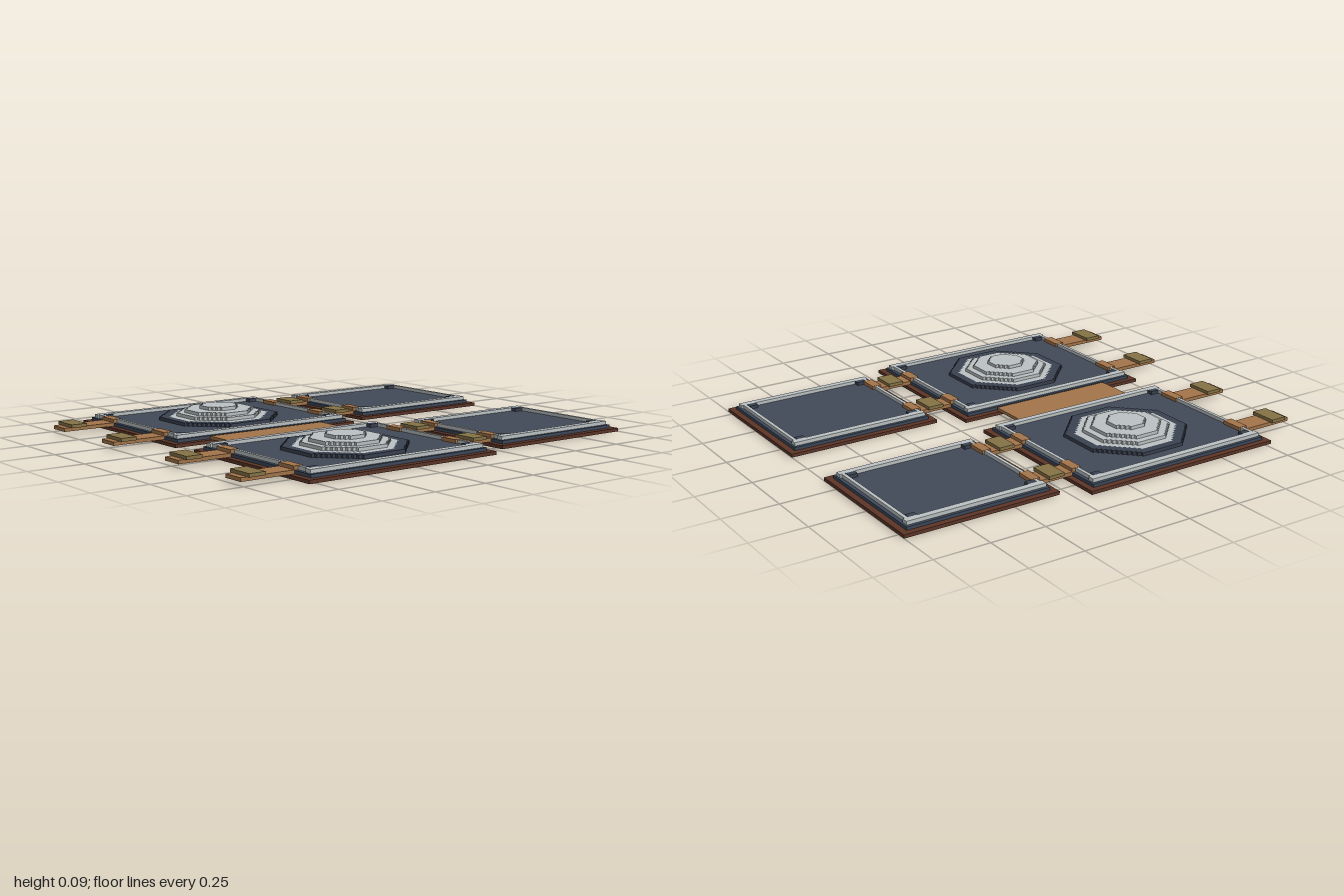
import * as THREE from 'three';

const mat = (name, color) => Object.assign(new THREE.MeshStandardMaterial({ color }), { name });
const M = {
  leather: mat('dark leather', 0x5c3527),
  strap: mat('tan leather', 0xa3744a),
  brass: mat('brass', 0x857346),
  plate: mat('blue steel', 0x434a58),
  edge: mat('blue steel edge', 0x3d485a),
  ring: mat('dark steel', 0x3a4150),
  silver: mat('silver', 0xbcc2c4),
};
const CELL = 2 / 135;
const L = [0, 0.015, 0.03, 0.045, 0.06, 0.075, 0.09]; // layer heights

// box given by its limits
function box(parent, name, m, x0, x1, y0, y1, z0, z1) {
  const mesh = new THREE.Mesh(new THREE.BoxGeometry(x1 - x0, y1 - y0, z1 - z0), m);
  mesh.position.set((x0 + x1) / 2, (y0 + y1) / 2, (z0 + z1) / 2);
  mesh.name = name;
  parent.add(mesh);
  return mesh;
}

// octagon outline with stair-stepped diagonals, inset by whole cells
function steppedOctagon(r, Path = THREE.Shape) {
  const n = Math.max(2, Math.round((r * 0.586) / CELL));
  const flat = r - n * CELL;
  const pts = [];
  for (let q = 0; q < 4; q++) {
    const c = Math.round(Math.cos(q * Math.PI / 2)), s = Math.round(Math.sin(q * Math.PI / 2));
    const add = (x, y) => pts.push(new THREE.Vector2(x * c - y * s, x * s + y * c));
    for (let i = 0; i < n; i++) {
      add(r - i * CELL, flat + i * CELL);
      add(r - (i + 1) * CELL, flat + i * CELL);
    }
    add(flat, r);
  }
  return new Path(pts);
}

function octagon(parent, name, m, r, y0, y1, z, hole) {
  const shape = steppedOctagon(r);
  if (hole) shape.holes.push(steppedOctagon(hole, THREE.Path));
  const geo = new THREE.ExtrudeGeometry(shape, { depth: y1 - y0, bevelEnabled: false });
  geo.rotateX(-Math.PI / 2);
  const mesh = new THREE.Mesh(geo, m);
  mesh.position.set(0, y0, z);
  mesh.name = name;
  parent.add(mesh);
}

// leather-backed plate with silver trim and corner rivets
function panel(name, hw, z0, z1) {
  const g = new THREE.Group();
  g.name = name;
  box(g, 'leatherBacking', M.leather, -hw, hw, L[0], L[1], z0, z1);
  const e = 0.028;
  box(g, 'plateEdge', M.edge, -hw + e, hw - e, L[1], L[2] - 0.001, z0 + e, z1 - e);
  const t = 0.042, w = 0.03;
  const ix = hw - t - w;
  box(g, 'plate', M.plate, -ix, ix, L[1], L[2], z0 + 0.06, z1 - 0.06);
  for (const s of [-1, 1]) {
    const c = s * (hw - t - w / 2);
    box(g, 'sideTrim', M.silver, c - w / 2, c + w / 2, L[2] - 0.002, L[3], z0 + 0.036, z1 - 0.036);
    const zc = s < 0 ? z0 + 0.052 : z1 - 0.052;
    box(g, 'endTrim', M.silver, -ix, ix, L[2] - 0.002, L[3], zc - 0.0075, zc + 0.0075);
    for (const r of [-1, 1]) {
      const rx = r * (ix - 0.014), rz = s < 0 ? z0 + 0.082 : z1 - 0.082;
      box(g, 'rivet', M.ring, rx - 0.014, rx + 0.014, L[2], L[3], rz - 0.02, rz + 0.02);
    }
  }
  return g;
}

// octagonal boss rising in steps
function boss(z) {
  const g = new THREE.Group();
  g.name = 'boss';
  octagon(g, 'bossRing', M.ring, 0.255, L[2], L[3], z, 0.217);
  octagon(g, 'bossBase', M.silver, 0.217, L[2], L[3], z);
  octagon(g, 'bossLowerStep', M.silver, 0.18, L[3], L[4], z);
  octagon(g, 'bossMiddleStep', M.silver, 0.148, L[4], L[5], z);
  octagon(g, 'bossTopStep', M.silver, 0.081, L[5], L[6], z);
  return g;
}

// one half: chest plate, shoulder plate, straps and buckles
function half() {
  const g = new THREE.Group();
  g.add(panel('largePanel', 0.396, -0.18, 0.78), panel('smallPanel', 0.322, -1, -0.285), boss(0.297));
  for (const s of [-1, 1]) {
    const a = s * 0.215, b = s * 0.18;
    box(g, 'lowerStrap', M.strap, a - 0.05, a + 0.05, L[1], L[2] + 0.001, 0.74, 1);
    box(g, 'lowerStrapTab', M.strap, a - 0.05, a + 0.05, L[2], L[3] + 0.001, 0.712, 0.755);
    box(g, 'lowerBuckle', M.brass, a - 0.063, a + 0.063, L[2], L[3], 0.895, 0.97);
    box(g, 'upperStrap', M.strap, b - 0.044, b + 0.044, L[1], L[2] + 0.001, -0.32, -0.14);
    box(g, 'upperStrapTab', M.strap, b - 0.044, b + 0.044, L[2], L[3] + 0.001, -0.355, -0.312);
    box(g, 'upperStrapTab', M.strap, b - 0.044, b + 0.044, L[2], L[3] + 0.001, -0.153, -0.11);
    box(g, 'upperBuckle', M.brass, b - 0.057, b + 0.057, L[2], L[3], -0.275, -0.2);
  }
  return g;
}

export function createModel() {
  const model = new THREE.Group();
  model.name = 'armourPanels';
  for (const [name, x] of [['leftHalf', 0.466], ['rightHalf', -0.469]]) {
    const h = half();
    h.name = name;
    h.position.x = x;
    model.add(h);
  }
  // wide strap joining the halves
  box(model, 'centreStrap', M.strap, -0.09, 0.09, L[1], L[2] - 0.001, 0, 0.595);
  return model;
}
